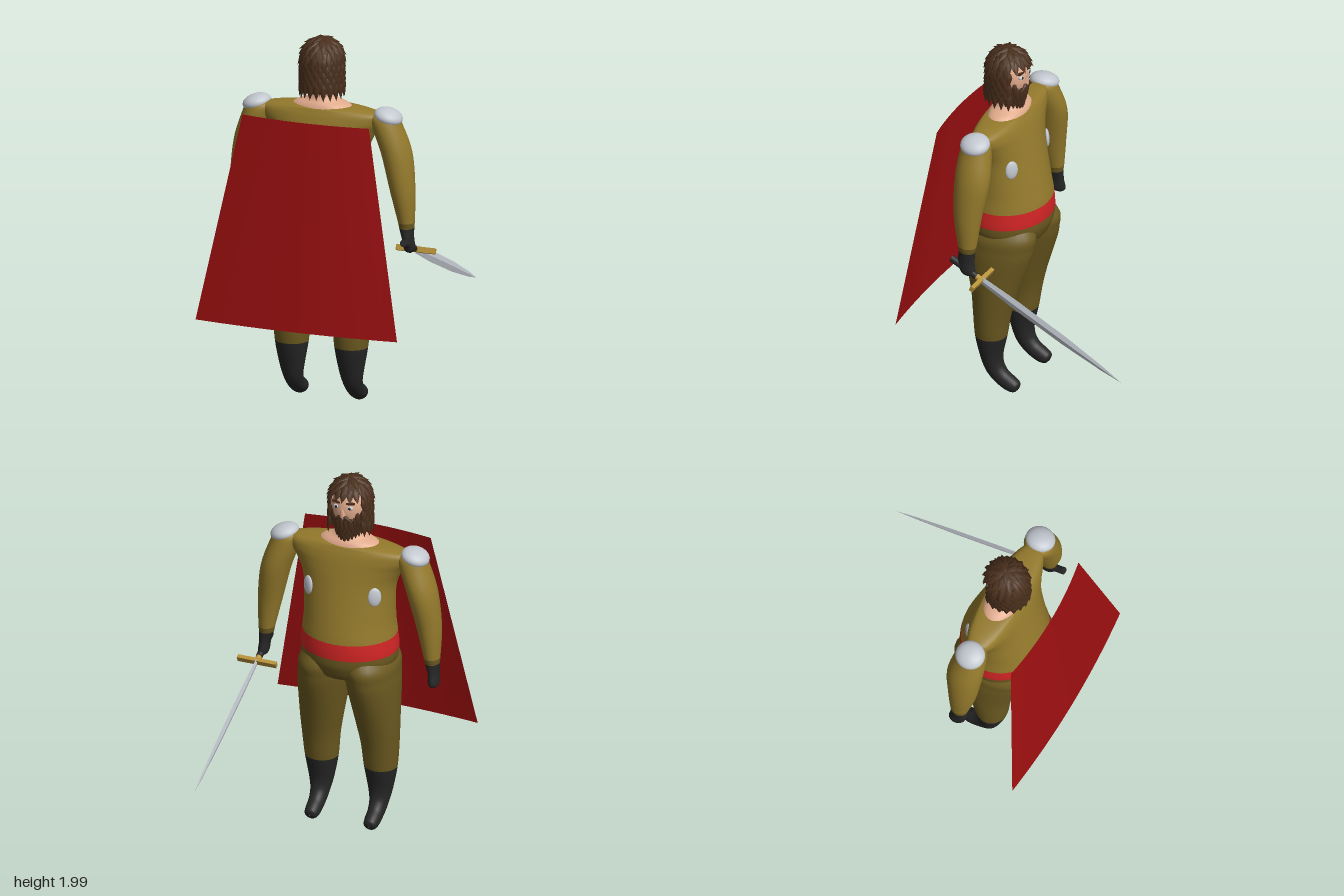
import * as THREE from 'three';
import { mergeGeometries } from 'three/addons/utils/BufferGeometryUtils.js';

const mat = (name, color, side = THREE.FrontSide) => {
  const m = new THREE.MeshStandardMaterial({ color, side });
  m.name = name;
  return m;
};
const CX = -0.0125; // the body's mid-line

// Smooth skin over elliptical sections listed from top to bottom:
// [x, y, z, radiusX, radiusZ, tilt]; mats holds one material per interval.
function loft(name, sections, mats, sides = 28, sub = 6) {
  const curve = (f) => new THREE.CatmullRomCurve3(sections.map(f), false, 'catmullrom', 0.5);
  const centre = curve((s) => new THREE.Vector3(s[0], s[1], s[2]));
  const size = curve((s) => new THREE.Vector3(s[3], s[4], s[5] || 0));
  const rows = (sections.length - 1) * sub;
  const pos = [], index = [];
  const geo = new THREE.BufferGeometry();
  const list = [...new Set(mats)];
  for (let i = 0; i <= rows; i++) {
    const c = centre.getPoint(i / rows), r = size.getPoint(i / rows);
    for (let j = 0; j < sides; j++) {
      const a = (j / sides) * Math.PI * 2;
      const d = Math.sin(a) * Math.max(r.y, 0.0005);
      pos.push(c.x + Math.cos(a) * Math.max(r.x, 0.0005), c.y - d * Math.sin(r.z), c.z + d * Math.cos(r.z));
    }
  }
  for (let i = 0; i < rows; i++) {
    const k = Math.floor(i / sub);
    if (i % sub === 0) geo.addGroup(index.length, sub * sides * 6, list.indexOf(mats[Math.min(k, mats.length - 1)]));
    for (let j = 0; j < sides; j++) {
      const a = i * sides + j, b = i * sides + ((j + 1) % sides);
      index.push(a, b, a + sides, b, b + sides, a + sides);
    }
  }
  geo.setAttribute('position', new THREE.Float32BufferAttribute(pos, 3));
  geo.setIndex(index);
  geo.computeVertexNormals();
  const mesh = new THREE.Mesh(geo, list);
  mesh.name = name;
  return mesh;
}

export function createModel() {
  const model = new THREE.Group();
  model.name = 'swordsman';
  const cloth = mat('olive tunic', 0x947a2c), pants = mat('dark olive', 0x6c5a20);
  const red = mat('belt red', 0xd02424), capeRed = mat('cape red', 0x9c0f10, THREE.DoubleSide);
  const black = mat('black leather', 0x262626), silver = mat('silver', 0xc3c8d0);
  const skin = mat('skin', 0xe0aa8c), hair = mat('brown hair', 0x4a2f1c), gold = mat('gold', 0xb8923a);

  const add = (name, geo, m, p, scale, parent = model) => {
    const mesh = new THREE.Mesh(geo, m);
    mesh.name = name;
    mesh.position.set(...p);
    if (scale) mesh.scale.set(...scale);
    parent.add(mesh);
    return mesh;
  };
  const ball = new THREE.SphereGeometry(1, 24, 16);

  // Torso, belt and hips
  const torso = [
    [1.632, 0.001, 0.001], [1.628, 0.2, 0.085], [1.605, 0.34, 0.105], [1.56, 0.345, 0.122], [1.5, 0.3, 0.138],
    [1.4, 0.258, 0.162], [1.22, 0.248, 0.204], [1.11, 0.256, 0.226], [1.02, 0.264, 0.231], [0.95, 0.25, 0.22],
    [0.88, 0.19, 0.17], [0.84, 0.001, 0.001],
  ].map(([y, rx, rz]) => [CX, y, 0.27, rx, rz]);
  model.add(loft('torso', torso, [cloth, cloth, cloth, cloth, cloth, cloth, cloth, red, pants], 36));

  // Neck spreading into the open collar
  const neck = [[1.76, 0.06, 0.055], [1.7, 0.064, 0.058], [1.665, 0.085, 0.068], [1.64, 0.145, 0.088], [1.612, 0.185, 0.1]];
  model.add(loft('neck', neck.map(([y, rx, rz]) => [CX, y, 0.27, rx, rz]), [skin]));

  for (const s of [1, -1]) {
    const side = s > 0 ? 'left' : 'right';

    // Legs with boots
    const leg = [
      [0.11, 1.03, 0.27, 0.1, 0.17], [0.128, 0.95, 0.268, 0.134, 0.216], [0.134, 0.88, 0.266, 0.137, 0.209],
      [0.142, 0.8, 0.265, 0.134, 0.19], [0.158, 0.6, 0.27, 0.117, 0.13], [0.167, 0.46, 0.28, 0.102, 0.103],
      [0.168, 0.325, 0.286, 0.09, 0.086], [0.168, 0.2, 0.283, 0.068, 0.06, 0.1], [0.168, 0.125, 0.262, 0.052, 0.052, 0.5],
      [0.168, 0.074, 0.215, 0.044, 0.047, 1.1], [0.168, 0.047, 0.165, 0.041, 0.043, 1.2],
      [0.168, 0.036, 0.132, 0.031, 0.03, 1.2], [0.168, 0.033, 0.12, 0.001, 0.001, 1.2],
    ].map(([x, ...r]) => [CX + s * x, ...r]);
    model.add(loft(side + 'Leg', leg, [pants, pants, pants, pants, pants, pants, black]));

    // Sleeve, cuff and glove
    const arm = [
      [0.345, 1.615, 0.27, 0.001, 0.001], [0.35, 1.605, 0.27, 0.07, 0.06], [0.365, 1.55, 0.27, 0.082, 0.085],
      [0.416, 1.4, 0.262, 0.08, 0.097], [0.452, 1.2, 0.268, 0.065, 0.077], [0.47, 1.03, 0.262, 0.043, 0.051],
      [0.472, 1.0, 0.262, 0.039, 0.046], [0.48, 0.94, 0.262, 0.029, 0.047], [0.485, 0.88, 0.25, 0.027, 0.04],
      [0.486, 0.858, 0.248, 0.001, 0.001],
    ].map(([x, ...r]) => [CX + s * x, ...r]);
    model.add(loft(side + 'Arm', arm, [cloth, cloth, cloth, cloth, cloth, pants, black]));

    // Shoulder pads and rib plates
    add(side + 'ShoulderPad', ball, silver, [CX + s * 0.372, 1.597, 0.27], [0.077, 0.045, 0.08]).rotation.z = -s * 0.28;
    const plate = add(side + 'RibPlate', ball, silver, [CX + s * 0.189, 1.375, 0.153], [0.036, 0.053, 0.014]);
    plate.lookAt(plate.position.x + s * 0.56, 1.42, plate.position.z - 0.83);
  }

  // Cape: a bowed trapezoid leaning away from the back
  const capeGeo = new THREE.PlaneGeometry(1, 1, 16, 1);
  const cp = capeGeo.attributes.position;
  for (let i = 0; i < cp.count; i++) {
    const u = cp.getX(i) * 2, v = 0.5 - cp.getY(i);
    cp.setXYZ(i, CX + u * (0.358 + 0.212 * v), 1.592 - 1.107 * v, 0.54 + 0.13 * v - 0.033 * u * u);
  }
  capeGeo.computeVertexNormals();
  add('cape', capeGeo, capeRed, [0, 0, 0]);

  // Head and face, looking towards -z
  add('head', ball, skin, [CX, 1.835, 0.268], [0.095, 0.135, 0.102]);
  const nose = add('nose', new THREE.ConeGeometry(0.02, 0.06, 8), skin, [CX, 1.835, 0.165]);
  nose.rotation.x = -0.35;
  for (const s of [1, -1]) {
    add('eye', ball, silver, [CX + s * 0.038, 1.856, 0.181], [0.018, 0.011, 0.012]);
    add('pupil', ball, black, [CX + s * 0.038, 1.856, 0.171], [0.007, 0.008, 0.004]);
    add('eyebrow', new THREE.BoxGeometry(0.045, 0.01, 0.014), hair, [CX + s * 0.04, 1.882, 0.18]).rotation.z = s * 0.12;
    add('ear', ball, skin, [CX + s * 0.096, 1.835, 0.265], [0.014, 0.032, 0.02]);
  }

  // Hair and beard from overlapping pointed locks
  const lockProfile = [[0, -0.62], [0.28, -0.3], [0.5, 0.05], [0.36, 0.34], [0, 0.5]];
  const lock = new THREE.LatheGeometry(lockProfile.map((p) => new THREE.Vector2(...p)), 6);
  let seed = 7;
  const rand = () => (seed = (seed * 16807) % 2147483647) / 2147483647;
  const up = new THREE.Vector3(0, 1, 0);
  const placeLock = (list, p, normal, w, h, lift) => {
    const x = new THREE.Vector3().crossVectors(up, normal).normalize();
    const y = new THREE.Vector3().crossVectors(normal, x).addScaledVector(normal, -lift).normalize();
    const m = new THREE.Matrix4().makeBasis(x, y, new THREE.Vector3().crossVectors(x, y));
    list.push(lock.clone().applyMatrix4(m.scale(new THREE.Vector3(w, h, 0.024)).setPosition(p)));
  };
  const hairLocks = [], beardLocks = [];
  // crown
  [12, 28, 43, 58, 74, 90].forEach((deg, row) => {
    const t = THREE.MathUtils.degToRad(deg), n = [5, 10, 14, 17, 19, 20][row];
    for (let k = 0; k < n; k++) {
      const a = ((k + (row % 2) / 2 + (rand() - 0.5) * 0.3) / n) * Math.PI * 2;
      if (row > 3 && Math.cos(a) < -0.62) continue;
      const d = new THREE.Vector3(Math.sin(t) * Math.sin(a), Math.cos(t), Math.sin(t) * Math.cos(a));
      const p = new THREE.Vector3(CX + d.x * 0.11, 1.865 + d.y * 0.122, 0.277 + d.z * 0.117);
      placeLock(hairLocks, p, d, 0.048, 0.075 + rand() * 0.02, 0.15);
    }
  });
  // hanging back and sides
  for (let row = 0; row < 4; row++) {
    for (let k = 0; k < 20; k++) {
      const a = ((k + (row % 2) / 2) / 20) * Math.PI * 2, back = Math.cos(a);
      if (back < -0.5) continue;
      const d = new THREE.Vector3(Math.sin(a), 0, back);
      const p = new THREE.Vector3(CX + d.x * 0.112, 1.835 - row * 0.031 - rand() * 0.012, 0.278 + d.z * (0.118 + row * 0.002));
      placeLock(hairLocks, p, d, 0.044, 0.1, 0.08);
    }
  }
  // beard along the jaw
  for (let row = 0; row < 5; row++) {
    for (let k = -5; k <= 5; k++) {
      const a = (k + (row % 2) / 2) * 0.27, r = 0.1 - row * 0.006;
      if (row === 0 && Math.abs(k) < 3) continue;
      const d = new THREE.Vector3(Math.sin(a), 0, -Math.cos(a));
      const drop = row * 0.026 * (1 - 0.35 * Math.abs(Math.sin(a)));
      const p = new THREE.Vector3(CX + d.x * r * 0.95, 1.79 - drop - rand() * 0.008, 0.272 + d.z * r);
      placeLock(beardLocks, p, d, 0.032, 0.085, 0.04);
    }
  }
  add('hair', mergeGeometries(hairLocks), hair, [0, 0, 0]);
  add('beard', mergeGeometries(beardLocks), hair, [0, 0, 0]);
  for (const s of [1, -1]) {
    add('moustache', lock, hair, [CX + s * 0.024, 1.797, 0.167], [0.024, 0.06, 0.022]).rotation.z = s * 1.0;
  }

  // Sword in the left hand, built along +y then swung forward and down
  const sword = new THREE.Group();
  sword.name = 'sword';
  const edge = [[0, 0], [0.022, 0], [0.03, 0.22], [0.028, 0.55], [0.014, 0.8], [0, 0.917]];
  const blade = new THREE.LatheGeometry(edge.map((p) => new THREE.Vector2(...p)), 4).toNonIndexed();
  blade.scale(0.28, 1, 1);
  blade.computeVertexNormals();
  add('blade', blade, silver, [0, 0, 0], null, sword);
  add('guard', new THREE.BoxGeometry(0.22, 0.022, 0.03), gold, [-0.002, 0, 0], null, sword);
  add('collar', new THREE.CylinderGeometry(0.016, 0.016, 0.03, 12), gold, [0, -0.022, 0], null, sword);
  add('grip', new THREE.CylinderGeometry(0.018, 0.02, 0.165, 12), black, [0, -0.115, 0], null, sword);
  sword.position.set(0.475, 0.857, 0.167);
  sword.rotation.x = -1.998;
  model.add(sword);
  return model;
}
